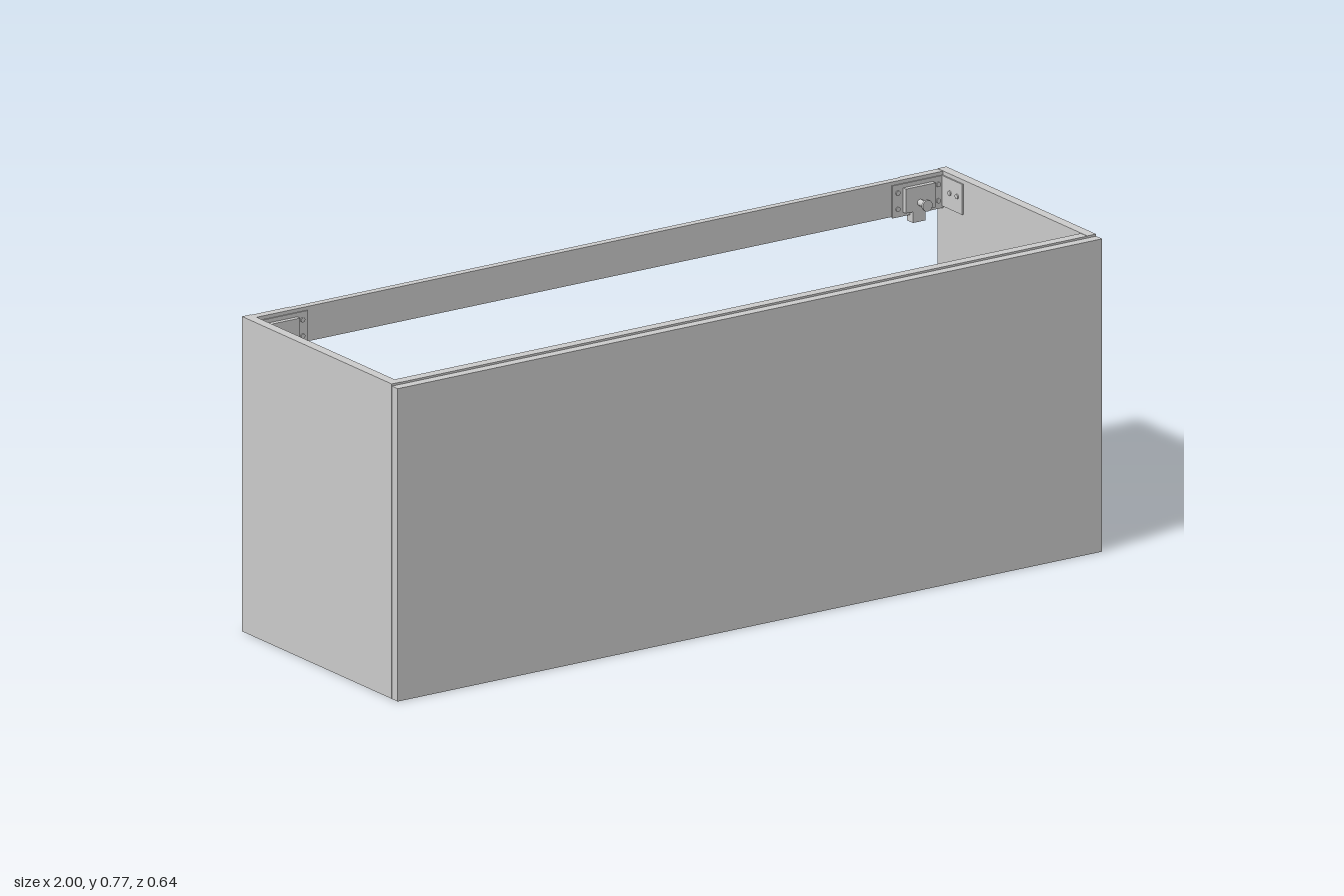
import * as THREE from 'three';

export function createModel() {
  const model = new THREE.Group();
  const material = new THREE.MeshStandardMaterial({ color: 0xcccccc });

  const add = (name, geometry, parent = model) => {
    const mesh = new THREE.Mesh(geometry, material);
    mesh.name = name;
    parent.add(mesh);
    return mesh;
  };
  // Box given by its extents along each axis
  const box = (name, [x0, x1], [y0, y1], [z0, z1], parent) => {
    const mesh = add(name, new THREE.BoxGeometry(x1 - x0, y1 - y0, z1 - z0), parent);
    mesh.position.set((x0 + x1) / 2, (y0 + y1) / 2, (z0 + z1) / 2);
    return mesh;
  };
  // Short cylinder lying along x or z
  const pin = (name, radius, length, axis, x, y, z, parent) => {
    const mesh = add(name, new THREE.CylinderGeometry(radius, radius, length, 12), parent);
    if (axis === 'x') mesh.rotation.z = Math.PI / 2;
    if (axis === 'z') mesh.rotation.x = Math.PI / 2;
    mesh.position.set(x, y, z);
    return mesh;
  };

  // Front panel, rails, floor and low back
  box('frontPanel', [-1, 1], [0, 0.77], [0.298, 0.322]);
  box('frontTopRail', [-0.975, 0.975], [0.675, 0.774], [0.27, 0.296]);
  box('backTopRail', [-0.975, 0.975], [0.688, 0.774], [-0.319, -0.3]);
  box('floorPanel', [-0.975, 0.975], [0.006, 0.03], [-0.238, 0.297]);
  box('drawerFloor', [-0.925, 0.925], [0.03, 0.048], [-0.238, 0.297]);
  box('lowBackPanel', [-0.975, 0.975], [0.006, 0.13], [-0.252, -0.238]);
  pin('backPanelPin', 0.006, 0.018, 'z', 0, 0.126, -0.245);

  for (const s of [-1, 1]) {
    const half = new THREE.Group();
    half.name = s > 0 ? 'leftSide' : 'rightSide';
    model.add(half);
    // Extents measured outward from the centre, mirrored by s
    const part = (name, [a, b], y, z) => box(name, s > 0 ? [a, b] : [-b, -a], y, z, half);

    part('sidePanel', [0.975, 1], [0, 0.775], [-0.322, 0.297]);

    // Low metal drawer wall and the runner it slides on
    part('drawerWall', [0.925, 0.943], [0.048, 0.096], [-0.225, 0.297]);
    part('drawerWallClip', [0.916, 0.925], [0.052, 0.085], [-0.205, 0.02]);
    part('runner', [0.946, 0.955], [0.05, 0.09], [-0.225, 0.27]);
    part('runnerFoot', [0.955, 0.975], [0.05, 0.062], [-0.11, 0.2]);
    part('runnerFlange', [0.968, 0.975], [0.062, 0.135], [-0.11, 0.07]);
    for (let i = 0; i < 5; i++) {
      pin('runnerScrew', 0.008, 0.006, 'x', s * 0.966, 0.112, -0.085 + i * 0.032, half);
    }
    // Fixing screws inside the front panel
    for (let i = 0; i < 4; i++) {
      pin('frontScrew', 0.005, 0.004, 'z', s * 0.958, 0.11 + i * 0.045, 0.297, half);
    }
    pin('sideStud', 0.004, 0.004, 'x', s * 0.974, 0.47, -0.2, half);

    // Wall hanger: cover, angle plate, body and adjusting screws
    part('hangerCover', [0.865, 0.975], [0.683, 0.774], [-0.322, -0.319]);
    part('hangerPlate', [0.83, 0.975], [0.685, 0.765], [-0.3, -0.297]);
    part('hangerSidePlate', [0.971, 0.975], [0.69, 0.765], [-0.297, -0.215]);
    part('hangerBody', [0.86, 0.945], [0.695, 0.755], [-0.297, -0.285]);
    part('hangerTab', [0.88, 0.915], [0.668, 0.695], [-0.31, -0.285]);
    pin('hangerScrew', 0.008, 0.03, 'z', s * 0.9, 0.715, -0.27, half);
    pin('hangerScrewHead', 0.014, 0.006, 'z', s * 0.9, 0.715, -0.256, half);
    for (const x of [0.845, 0.96]) {
      for (const y of [0.705, 0.745]) {
        pin('plateScrew', 0.006, 0.004, 'z', s * x, y, -0.296, half);
      }
    }
    for (const z of [-0.265, -0.235]) {
      pin('sidePlateScrew', 0.006, 0.004, 'x', s * 0.97, 0.73, z, half);
    }
  }
  return model;
}
